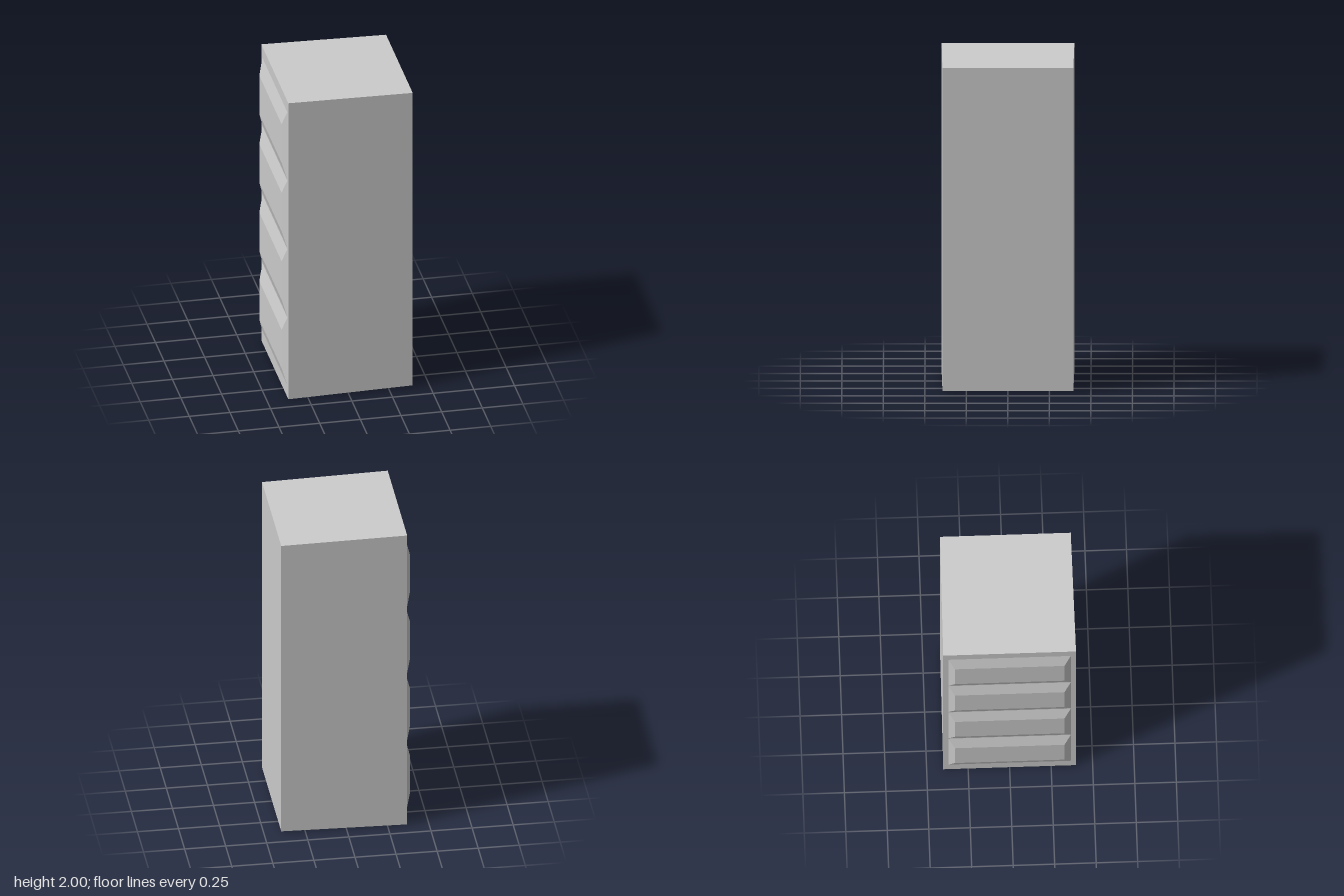
import * as THREE from 'three';

const material = new THREE.MeshStandardMaterial({ color: 0xcccccc, flatShading: true });

// Box along x whose two end faces have their own height and depth: [height, depth]
function taperedBox(x0, x1, y, end0, end1) {
  const geometry = new THREE.BoxGeometry(1, 1, 1);
  const p = geometry.attributes.position;
  for (let i = 0; i < p.count; i++) {
    const atStart = p.getX(i) < 0;
    const [h, d] = atStart ? end0 : end1;
    p.setXYZ(i, atStart ? x0 : x1, y + p.getY(i) * h, p.getZ(i) * d);
  }
  geometry.computeVertexNormals();
  return geometry;
}

export function createModel() {
  const group = new THREE.Group();

  // Cabinet body, narrowing slightly towards +x
  const body = new THREE.Mesh(taperedBox(-0.37, 0.396, 1, [2, 0.8], [1.976, 0.788]), material);
  body.name = 'cabinetBody';
  group.add(body);

  // Four bevelled drawer fronts stacked on the -x face
  const pitch = 0.463;
  for (let i = 0; i < 4; i++) {
    const y = 0.076 + pitch * (i + 0.5);
    const drawer = new THREE.Mesh(
      taperedBox(-0.397, -0.369, y, [0.26, 0.66], [pitch, 0.74]), material);
    drawer.name = `drawerFront${i + 1}`;
    group.add(drawer);
  }
  return group;
}
